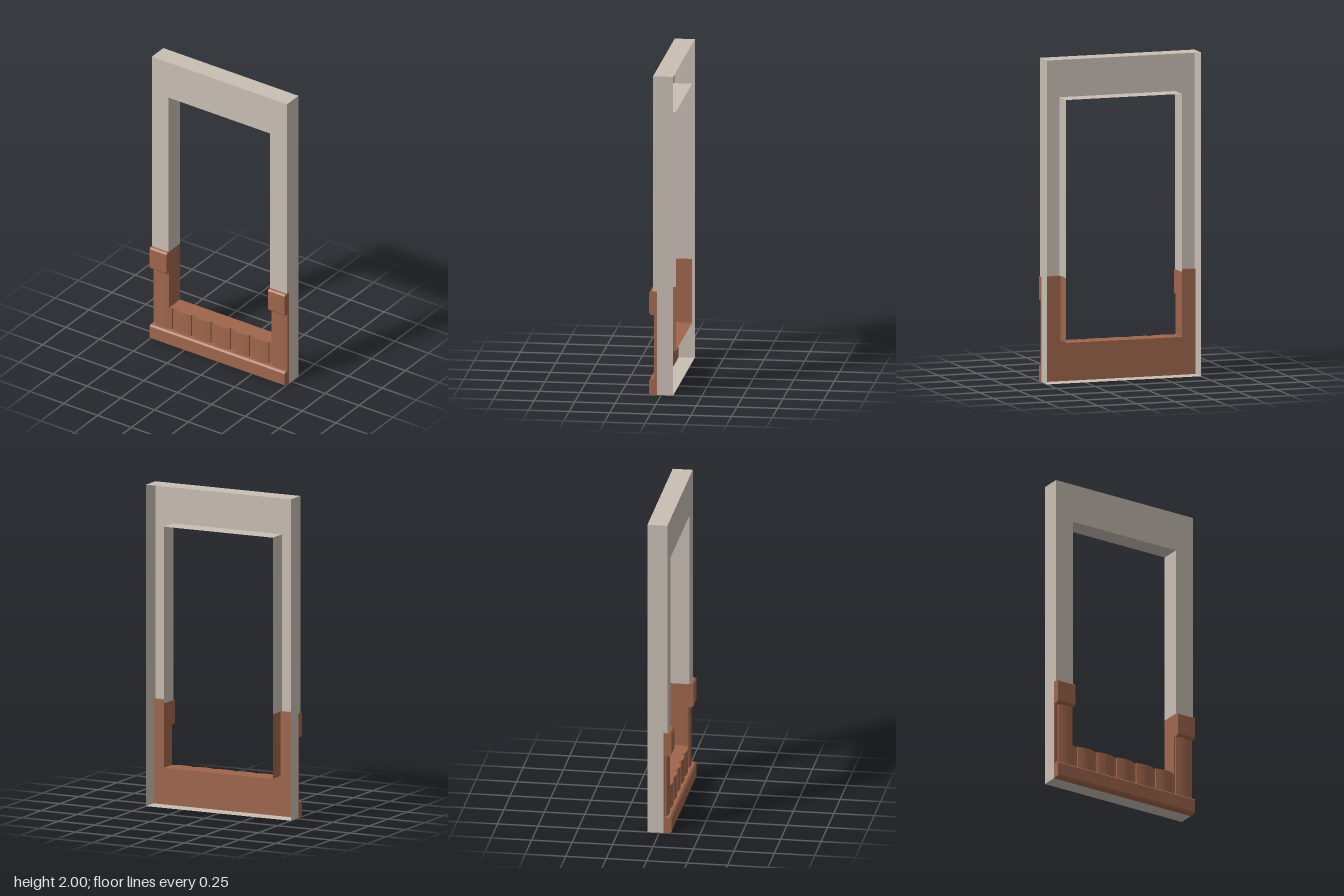
import * as THREE from 'three';

const FRONT = 0.05, BACK = -0.074, TRIM = 0.026, LIP = 0.074;
const HALF = 0.5, OPEN = 0.375, SILL = 0.25, CAP = 0.65, HEAD = 1.75, TOP = 2;

export function createModel() {
  const group = new THREE.Group();
  const plaster = new THREE.MeshStandardMaterial({ color: 0xc9beb4, side: THREE.DoubleSide });
  plaster.name = 'plaster';
  const brick = new THREE.MeshStandardMaterial({ color: 0xa0664c, side: THREE.DoubleSide });
  brick.name = 'brick';

  const add = (name, geometry, material) => {
    const mesh = new THREE.Mesh(geometry, material);
    mesh.name = name;
    group.add(mesh);
    return mesh;
  };
  // Thin sheet facing sideways
  const sideSheet = (name, x, y0, y1, z0, z1, mat) => {
    const g = new THREE.PlaneGeometry(z1 - z0, y1 - y0).rotateY(Math.sign(x) * Math.PI / 2);
    add(name, g, mat).position.set(x, (y0 + y1) / 2, (z0 + z1) / 2);
  };
  // Thin sheet lying flat
  const flatSheet = (name, halfWidth, y, z0, z1, mat) => {
    const g = new THREE.PlaneGeometry(halfWidth * 2, z1 - z0).rotateX(-Math.PI / 2);
    add(name, g, mat).position.set(0, y, (z0 + z1) / 2);
  };
  const outline = (pts) => new THREE.Shape(pts.map(([a, b]) => new THREE.Vector2(a, b)));

  // Plaster wall face around the opening
  const face = new THREE.ShapeGeometry(outline([
    [-HALF, CAP], [-OPEN, CAP], [-OPEN, HEAD], [OPEN, HEAD],
    [OPEN, CAP], [HALF, CAP], [HALF, TOP], [-HALF, TOP],
  ]));
  add('wallFace', face, plaster).position.z = FRONT;

  // Hollow shell: outer edges and window reveal
  flatSheet('wallTop', HALF, TOP, BACK, FRONT, plaster);
  flatSheet('wallBottom', HALF, 0, BACK, TRIM, plaster);
  flatSheet('revealHead', OPEN, HEAD, BACK, FRONT, plaster);
  flatSheet('revealSill', OPEN, SILL, BACK, TRIM, brick);
  for (const s of [-1, 1]) {
    sideSheet('wallSideUpper', s * HALF, CAP, TOP, BACK, FRONT, plaster);
    sideSheet('wallSideLower', s * HALF, 0, CAP, BACK, TRIM, plaster);
    sideSheet('revealSideUpper', s * OPEN, CAP, HEAD, BACK, FRONT, plaster);
    sideSheet('revealSideLower', s * OPEN, SILL, CAP, BACK, TRIM, brick);
  }

  // Rounded upright stones: a narrow groove, then a shallow bulge, seven across
  const stoneDepth = (x) => {
    const t = (((x + HALF) * 7) % 1 + 1) % 1;
    return t < 0.16 ? 0.031 : 0.041 + 0.009 * Math.sin(Math.PI * (t - 0.16) / 0.84);
  };
  const stones = (name, x0, x1, y0, y1) => {
    const xs = [x0 + 1e-4];
    for (let k = 0; k < 7; k++) {
      for (const t of [0.002, 0.159, 0.161, 0.25, 0.36, 0.47, 0.58, 0.69, 0.8, 0.9, 0.999]) {
        const x = -HALF + (k + t) / 7;
        if (x > x0 + 3e-4 && x < x1 - 3e-4) xs.push(x);
      }
    }
    xs.push(x1 - 1e-4);
    const pts = xs.map((x) => [x, -stoneDepth(x)]);
    pts.push([x1, -TRIM], [x0, -TRIM]);
    const g = new THREE.ExtrudeGeometry(outline(pts), { depth: y1 - y0, bevelEnabled: false });
    add(name, g.rotateX(-Math.PI / 2), brick).position.y = y0;
  };
  stones('sillStones', -OPEN, OPEN, 0.1, SILL);
  stones('rightPierStones', -HALF, -OPEN, 0.1, 0.5);
  stones('leftPierStones', OPEN, HALF, 0.1, 0.5);

  // Chamfered bands: plinth across the bottom and a cap on each pier
  const band = (name, x0, x1, y0, y1) => {
    const c = 0.01;
    const g = new THREE.ExtrudeGeometry(outline([
      [-TRIM, y0], [-LIP + c, y0], [-LIP, y0 + c],
      [-LIP, y1 - c], [-LIP + c, y1], [-TRIM, y1],
    ]), { depth: x1 - x0, bevelEnabled: false });
    add(name, g.rotateY(Math.PI / 2), brick).position.x = x0;
  };
  band('plinth', -HALF, HALF, 0, 0.1);
  band('rightPierCap', -HALF, -OPEN, 0.5, CAP);
  band('leftPierCap', OPEN, HALF, 0.5, CAP);

  return group;
}
